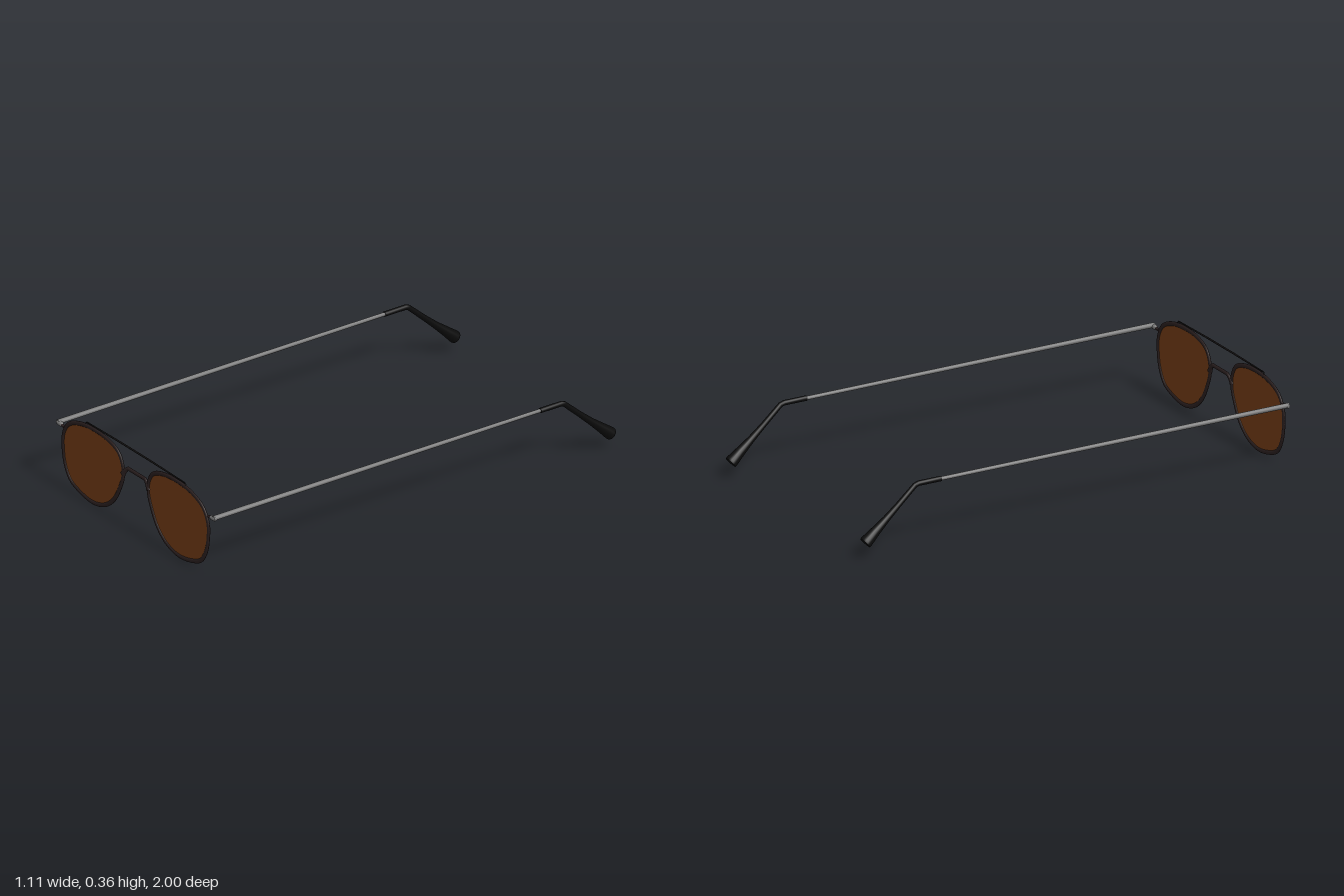
import * as THREE from 'three';

const V = (x, y, z) => new THREE.Vector3(x, y, z);
const mat = (color, side = THREE.FrontSide) => new THREE.MeshStandardMaterial({ color, side });
const rimMat = mat(0x2b2020), lensMat = mat(0x763e17, THREE.DoubleSide);
const steelMat = mat(0x787878), tipMat = mat(0x0a0a0a), barMat = mat(0x141212);
const FRONT_Z = 0.993;

function add(parent, name, geometry, material) {
  const mesh = new THREE.Mesh(geometry, material);
  mesh.name = name;
  parent.add(mesh);
  return mesh;
}

// Round rod through points, one radius per point, with mitred joints and closed ends
function rod(points, radii, sides = 12) {
  const pos = [], index = [], n = points.length;
  const side = V(), up = V();
  points.forEach((p, i) => {
    const t = points[Math.min(i + 1, n - 1)].clone().sub(points[Math.max(i - 1, 0)]).normalize();
    side.crossVectors(Math.abs(t.y) > 0.9 ? V(1, 0, 0) : V(0, 1, 0), t).normalize();
    up.crossVectors(t, side);
    for (let k = 0; k < sides; k++) {
      const a = (k / sides) * Math.PI * 2;
      const q = p.clone().addScaledVector(side, Math.cos(a) * radii[i]).addScaledVector(up, Math.sin(a) * radii[i]);
      pos.push(q.x, q.y, q.z);
    }
  });
  for (let i = 0; i < n - 1; i++) {
    for (let k = 0; k < sides; k++) {
      const a = i * sides + k, b = i * sides + (k + 1) % sides;
      index.push(a, b, a + sides, b, b + sides, a + sides);
    }
  }
  // End caps use their own vertices so the edges stay sharp
  for (const end of [0, n - 1]) {
    const base = pos.length / 3;
    pos.push(...pos.slice(end * sides * 3, (end + 1) * sides * 3));
    for (let k = 1; k < sides - 1; k++) {
      if (end) index.push(base, base + k, base + k + 1);
      else index.push(base, base + k + 1, base + k);
    }
  }
  const g = new THREE.BufferGeometry();
  g.setAttribute('position', new THREE.Float32BufferAttribute(pos, 3));
  g.setIndex(index);
  g.computeVertexNormals();
  return g;
}

// Centreline of one rim, on the +x side
const OUTLINE = [
  [0.19, 0.335], [0.288, 0.342], [0.385, 0.329], [0.458, 0.295], [0.491, 0.24], [0.494, 0.18],
  [0.48, 0.109], [0.445, 0.053], [0.385, 0.026], [0.29, 0.012], [0.207, 0.035], [0.148, 0.084],
  [0.109, 0.15], [0.086, 0.216], [0.092, 0.268], [0.12, 0.309],
];

function createSide(s) {
  const g = new THREE.Group();
  g.name = s > 0 ? 'leftSide' : 'rightSide';

  // Rim: flattened tube around the lens
  const curve = new THREE.CatmullRomCurve3(OUTLINE.map(([x, y]) => V(s * x, y, 0)), true);
  const rim = add(g, 'rim', new THREE.TubeGeometry(curve, 96, 0.0095, 10, true), rimMat);
  rim.scale.z = 0.6;
  rim.position.z = FRONT_Z;

  // Lens: thin plate filling the rim
  const shape = new THREE.Shape(curve.getPoints(80).map((p) => new THREE.Vector2(p.x, p.y)));
  const lens = add(g, 'lens', new THREE.ExtrudeGeometry(shape, { depth: 0.003, bevelEnabled: false }), lensMat);
  lens.position.z = FRONT_Z - 0.0015;

  // Hinge: thin link from the rim and a thicker end piece
  add(g, 'hingeLink', rod([V(s * 0.49, 0.268, FRONT_Z - 0.003), V(s * 0.515, 0.272, FRONT_Z - 0.003)], [0.006, 0.006]), rimMat);
  add(g, 'hinge', rod(
    [V(s * 0.505, 0.27, 0.989), V(s * 0.512, 0.271, 0.989), V(s * 0.533, 0.274, 0.989), V(s * 0.54, 0.275, 0.989)],
    [0.006, 0.01, 0.011, 0.007]), steelMat);

  // Temple arm, tapering slightly to the back
  const x = s * 0.53;
  add(g, 'temple', rod([V(x, 0.276, 0.995), V(x, 0.276, 0.33), V(x, 0.275, -0.65)], [0.0105, 0.0095, 0.008]), steelMat);

  // Ear tip: sleeve, bend and flared end
  add(g, 'earTip', rod(
    [V(x, 0.275, -0.63), V(x, 0.275, -0.735), V(x, 0.27, -0.75), V(x, 0.2, -0.828), V(x, 0.15, -0.885),
      V(x, 0.105, -0.938), V(x, 0.072, -0.976), V(x, 0.066, -0.983)],
    [0.011, 0.011, 0.011, 0.012, 0.015, 0.021, 0.0265, 0.026], 16), tipMat);
  return g;
}

export function createModel() {
  const model = new THREE.Group();
  model.name = 'sunglasses';
  for (const s of [1, -1]) model.add(createSide(s));

  // Nose bridge, bowed slightly backwards
  const half = [[0.088, 0.222, 0], [0.078, 0.24, -0.002], [0.058, 0.258, -0.006]];
  const path = [...half.map(([x, y, z]) => V(-x, y, z)), ...half.reverse().map(([x, y, z]) => V(x, y, z))];
  const bridge = add(model, 'bridge', rod(path, [0.013, 0.011, 0.0085, 0.0085, 0.011, 0.013]), rimMat);
  bridge.scale.z = 0.7;
  bridge.position.z = FRONT_Z;

  // Slim brow bar resting on both rims
  const bar = [[-0.342, 0.347], [-0.334, 0.355], [-0.1, 0.358], [0.1, 0.358], [0.334, 0.355], [0.342, 0.347]];
  add(model, 'browBar', rod(bar.map(([x, y]) => V(x, y, FRONT_Z)), [0.003, 0.003, 0.004, 0.004, 0.003, 0.003], 8), barMat);
  return model;
}
